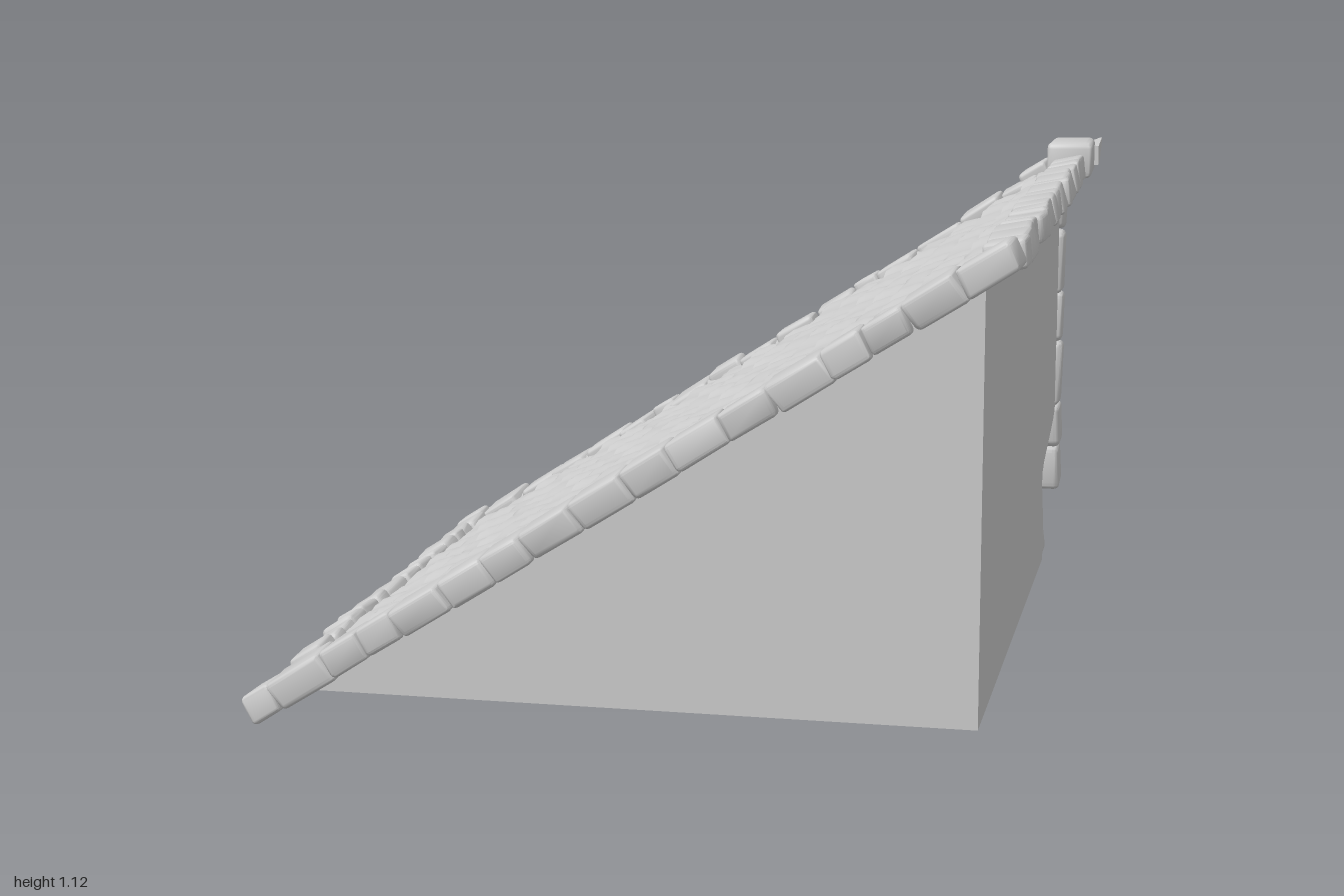
import * as THREE from 'three';
import { mergeVertices, toCreasedNormals } from 'three/addons/utils/BufferGeometryUtils.js';
import { RoundedBoxGeometry } from 'three/addons/geometries/RoundedBoxGeometry.js';
import { ParametricGeometry } from 'three/addons/geometries/ParametricGeometry.js';

const SLOPE = 0.64, TILT = Math.atan(SLOPE), FLOOR = 0.1, FRONT = 0.96, SIDE = 0.75;
const mat = new THREE.MeshStandardMaterial({ color: 0xcccccc, side: THREE.DoubleSide });
const lerp = THREE.MathUtils.lerp, smooth = THREE.MathUtils.smoothstep;

let seed = 7;
const rnd = () => (seed = (seed * 16807) % 2147483647) / 2147483647;
const jit = a => (rnd() - 0.5) * 2 * a;

// Piecewise linear curve through [x, value] pairs
function along(points, x) {
  for (let i = 1; i < points.length; i++) {
    const [x0, a] = points[i - 1], [x1, b] = points[i];
    if (x <= x1) return lerp(a, b, Math.max(0, (x - x0) / (x1 - x0)));
  }
  return points[points.length - 1][1];
}
// Outer and inner outline of the broken rear edge, seen from above
const outer = x => along([[-0.75, -0.66], [-0.6, -0.68], [-0.4, -0.63], [0, -0.64], [0.12, -0.62],
  [0.2, -0.67], [0.3, -0.76], [0.45, -0.84], [0.6, -0.88], [0.75, -0.92]], x);
const inner = x => along([[-0.75, -0.48], [-0.5, -0.46], [-0.1, -0.42], [0.1, -0.47],
  [0.2, -0.53], [0.4, -0.65], [0.6, -0.71], [0.75, -0.78]], x);
const roofY = x => 0.57 + SLOPE * x;

// Depth of the collapsed rear face, with a hollow at the tall side
function rearZ(x, y) {
  const t = (y - FLOOR) / Math.max(0.02, roofY(x) - FLOOR);
  const near = smooth(x, 0.55, SIDE);
  const rise = smooth(t, lerp(0, 0.24, near), lerp(0.65, 0.36, near));
  return lerp(-0.5, outer(x) + 0.13, rise) + 0.05 * near * Math.exp(-(((t - 0.23) / 0.08) ** 2));
}

// One weathered stone with soft edges
function stone(parent, name, [x, y, z], [w, h, d], rz = 0, ry = 0) {
  const r = Math.min(w, h, d) * 0.16;
  let g = new RoundedBoxGeometry(w, h, d, 2, r);
  g.deleteAttribute('uv');
  g.deleteAttribute('normal');
  g = mergeVertices(g, 1e-5);
  const p = g.attributes.position, k = rnd() * 6, taper = jit(0.1), skew = jit(0.04);
  for (let i = 0; i < p.count; i++) {
    const a = p.getX(i) / w, b = p.getY(i) / h, c = p.getZ(i) / d;
    p.setXYZ(i, w * (a * (1 + taper * c) + 0.03 * Math.sin(4 * b + k)),
      h * (b * (1 + skew * a) + 0.03 * Math.sin(5 * c + k)),
      d * (c * (1 - taper * b) + 0.03 * Math.sin(4 * a + 2 * k)));
  }
  const m = new THREE.Mesh(toCreasedNormals(g, 0.6), mat);
  m.name = name;
  m.position.set(x, y, z);
  m.rotation.set(0, ry, rz);
  parent.add(m);
}

// Stones of uneven length filling the range a..b; place(mid, length) adds each
function course(a, b, n, place) {
  const lens = Array.from({ length: n }, () => 1 + jit(0.35));
  const k = (b - a) / lens.reduce((s, v) => s + v, 0);
  for (const v of lens) {
    place(a + v * k / 2, v * k);
    a += v * k;
  }
}

export function createModel() {
  const model = new THREE.Group();
  model.name = 'ruinedRamp';
  const group = name => {
    const g = new THREE.Group();
    g.name = name;
    model.add(g);
    return g;
  };
  const surface = (name, geometry) => {
    const m = new THREE.Mesh(geometry, mat);
    m.name = name;
    model.add(m);
    return m;
  };

  // Flat walls and underside
  const toe = (FLOOR - 0.57) / SLOPE;
  const tri = new THREE.Shape([[toe, FLOOR], [SIDE, FLOOR], [SIDE, roofY(SIDE)]].map(p => new THREE.Vector2(...p)));
  surface('frontWall', new THREE.ShapeGeometry(tri)).position.z = FRONT;

  const edge = [new THREE.Vector2(-FRONT, FLOOR)];
  for (let i = 0; i <= 60; i++) {
    const y = lerp(FLOOR, roofY(SIDE), i / 60);
    edge.push(new THREE.Vector2(-rearZ(SIDE, y), y));
  }
  edge.push(new THREE.Vector2(-FRONT, roofY(SIDE)));
  const side = surface('tallSideWall', new THREE.ShapeGeometry(new THREE.Shape(edge)));
  side.rotation.y = Math.PI / 2;
  side.position.x = SIDE;

  const base = surface('underside', new THREE.PlaneGeometry(SIDE - toe, FRONT + 0.5));
  base.rotation.x = Math.PI / 2;
  base.position.set((SIDE + toe) / 2, FLOOR, (FRONT - 0.5) / 2);

  // Collapsed rear face
  surface('rearFace', new ParametricGeometry((u, v, out) => {
    const x = lerp(toe, SIDE, u), y = lerp(FLOOR, roofY(x), v);
    out.set(x, y, rearZ(x, y) + 0.012 * Math.sin(23 * x) * Math.sin(Math.PI * v) * (1 - u));
  }, 60, 40));

  // Overlapping rows of worn tiles, each thickest along its lower edge
  const rows = 18, cuts = [0, 0.12, 0.35, 0.65, 0.95], lift = [0.008, 0.024, 0.025, 0.019, 0.01];
  const nu = rows * cuts.length;
  surface('tiledSlope', toCreasedNormals(new ParametricGeometry((u, v, out) => {
    const i = Math.min(nu - 1, Math.round(u * nu)), row = Math.floor(i / cuts.length), c = i % cuts.length;
    const z0 = lerp(0.9, -0.9, v);
    const wave = Math.sin(z0 * 23 + row * 2.3 + c * 0.5) * Math.sin(z0 * 13 + row * 5.1);
    const x = lerp(-0.69, 0.745, (row + cuts[c]) / rows) + (c < 2 ? 0.007 * wave : 0);
    const h = lift[c] + 0.006 * wave * (c > 0 ? 1 : 0.3) + 0.002 * Math.sin(z0 * 47 + row * 3 + c);
    out.set(x - h * Math.sin(TILT), roofY(x) + h, lerp(0.88, outer(x) + 0.12, v));
  }, nu, 90), 0.9));

  // Front border climbing the slope
  const front = group('frontBorder');
  course(-0.825, 0.81, 17, (x, l) => stone(front, 'borderStone', [x, roofY(x) + 0.003, 0.93 + jit(0.004)],
    [l / Math.cos(TILT), 0.066 + jit(0.003), 0.12 + jit(0.005)], TILT));

  // Top and bottom borders along the depth
  const top = group('topBorder');
  course(-0.76, 0.87, 17, (z, l) => stone(top, 'topStone', [0.775 + jit(0.005), 1.067, z],
    [0.085 + jit(0.006), 0.066 + jit(0.004), l], 0.2));
  const low = group('bottomBorder');
  course(-0.5, 0.87, 15, (z, l) => stone(low, 'bottomStone', [-0.715 + jit(0.006), 0.118, z],
    [0.085 + jit(0.008), 0.085 + jit(0.006), l], TILT));

  // Corner column under the top rear end, with its cap and a broken chip
  const column = group('cornerColumn');
  course(0.22, 1.03, 6, (y, l) => stone(column, 'columnStone', [0.715, y, lerp(-0.825, -0.843, y) + jit(0.004)],
    [0.095, l, lerp(0.12, 0.085, y) + jit(0.008)]));
  stone(column, 'capStone', [0.775, 1.09, -0.83], [0.11, 0.09, 0.17]);
  stone(column, 'cornerStone', [0.69, 1.03, -0.86], [0.08, 0.07, 0.14], TILT);
  const chip = new THREE.ExtrudeGeometry(new THREE.Shape([[0.88, 1.065], [0.93, 1.07], [1, 1.115], [1, 1.125], [0.88, 1.115]]
    .map(p => new THREE.Vector2(...p))), { depth: 0.05, bevelEnabled: false });
  const pos = chip.attributes.position;
  for (let i = 0; i < pos.count; i++) // narrows to a point at the rear
    if (pos.getX(i) > 0.95) pos.setZ(i, 0.046 + pos.getZ(i) * 0.08);
  chip.computeVertexNormals();
  const chipMesh = surface('brokenChip', chip);
  chipMesh.rotation.y = Math.PI / 2;
  chipMesh.position.x = 0.79;

  // Foundation stones along the rear
  const foot = group('rearFoundation');
  const footY = x => lerp(0.068, 0.14, (x + 0.77) / 1.52);
  course(-0.77, 0.74, 18, (x, l) => stone(foot, 'foundationStone', [x, footY(x), -0.55 + jit(0.01)],
    [l, 0.1, 0.2 + jit(0.02)], 0.046));
  course(-0.25, 0.72, 8, (x, l) => stone(foot, 'looseStone', [x, footY(x) + 0.055 + jit(0.01), -0.63 + jit(0.03)],
    [l * 0.85, 0.075, 0.16], jit(0.1), jit(0.2)));

  // Ragged stones stepping down over the broken edge
  const rubble = group('brokenEdge');
  course(-0.76, 0.71, 17, (x, l) => {
    const a = inner(x) + jit(0.045), b = lerp(a, outer(x), 0.65 + jit(0.1));
    stone(rubble, 'edgeStone', [x, roofY(x) + 0.004 + jit(0.006), (a + b) / 2],
      [l * 1.15, 0.07, a - b], TILT + jit(0.04), jit(0.05));
  });
  course(-0.75, 0.72, 14, (x, l) => stone(rubble, 'outerStone',
    [x, roofY(x) - 0.025 + jit(0.01), outer(x) + 0.065 + jit(0.015)],
    [l * 1.05, 0.07, 0.13], TILT + jit(0.08), jit(0.1)));

  // Stones poking out of the rear face below them
  for (const [drop, from, n, out] of [[0.12, -0.45, 10, 0.03], [0.23, -0.15, 6, 0.02], [0.36, 0.15, 3, 0.01]])
    course(from, 0.64, n, (x, l) => {
      const y = roofY(x) - drop + jit(0.02);
      stone(rubble, 'faceStone', [x, y, rearZ(x, y) - out], [l * 0.75, 0.075, 0.14 + jit(0.03)],
        TILT * 0.6 + jit(0.15), jit(0.2));
    });

  return model;
}
